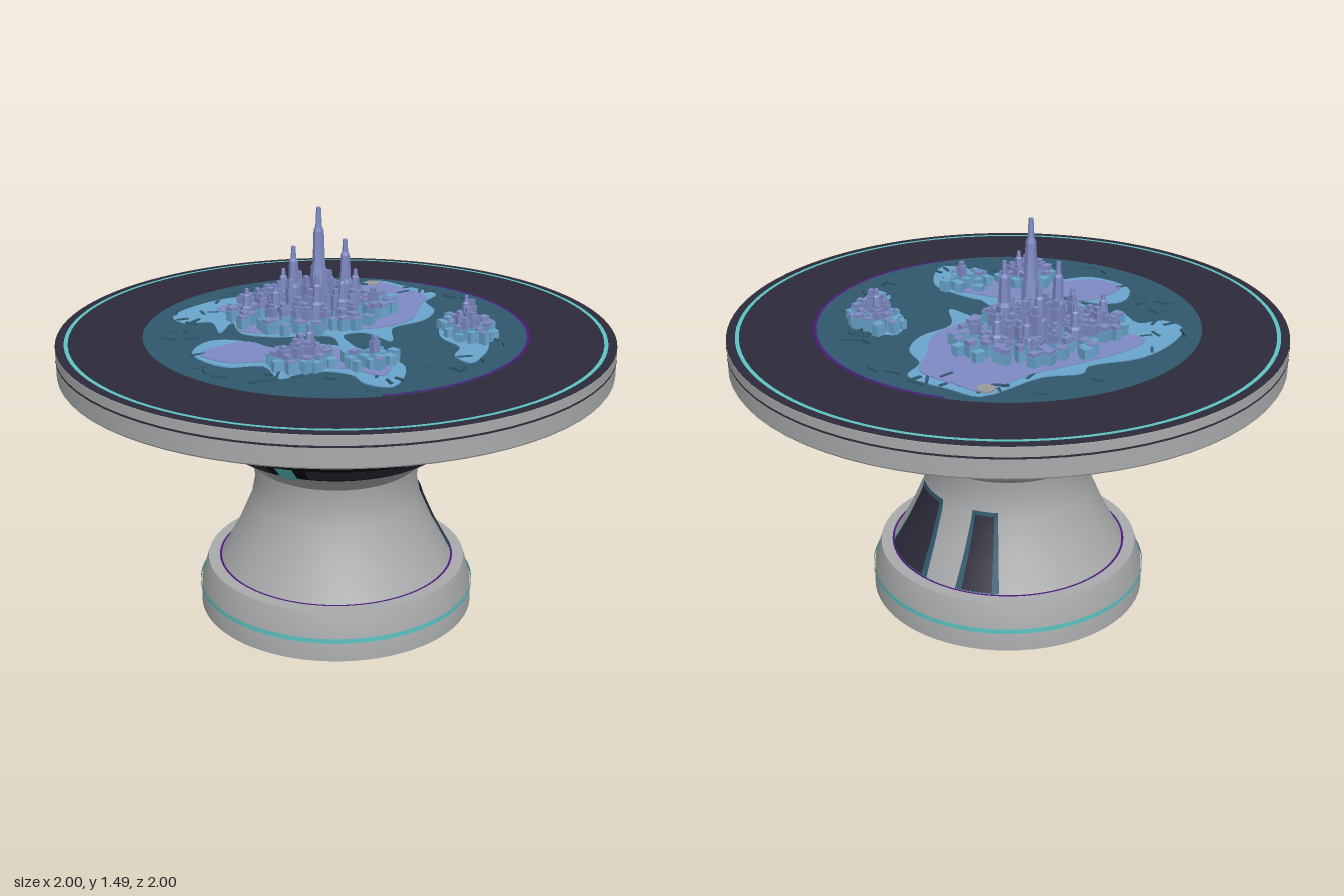
import * as THREE from 'three';
import { toCreasedNormals } from 'three/addons/utils/BufferGeometryUtils.js';

const mat = (name, color, side = THREE.FrontSide) => {
  const m = new THREE.MeshStandardMaterial({ color, side });
  m.name = name;
  return m;
};

export function createModel() {
  const grey = mat('shell grey', 0xa9abac);
  const black = mat('bowl black', 0x08080b);
  const navy = mat('dark navy', 0x2d2b3a, THREE.DoubleSide);
  const teal = mat('light teal', 0x5cc4c2, THREE.DoubleSide);
  const purple = mat('accent purple', 0x4c1a7a, THREE.DoubleSide);
  const water = mat('water blue', 0x30586c);
  const land = mat('land blue', 0x6aa5cd);
  const lavender = mat('city lavender', 0x7f8bc4);
  const sand = mat('sand', 0x9c9a9c);

  const root = new THREE.Group();
  const add = (name, geo, material, parent = root) => {
    const mesh = new THREE.Mesh(geo, material);
    mesh.name = name;
    parent.add(mesh);
    return mesh;
  };
  const group = (name) => {
    const g = new THREE.Group();
    g.name = name;
    root.add(g);
    return g;
  };
  let seed = 7;
  const rand = () => (seed = (seed * 16807) % 2147483647) / 2147483647;

  const lathe = (name, pts, material) => add(name, toCreasedNormals(
    new THREE.LatheGeometry(pts.map((p) => new THREE.Vector2(...p)), 72), 0.45), material);

  // radius of a profile at height y
  const radiusAt = (pts, y) => {
    for (let i = 1; i < pts.length; i++) {
      const [r0, y0] = pts[i - 1], [r1, y1] = pts[i];
      if (y <= y1) return r0 + (r1 - r0) * (y - y0) / (y1 - y0);
    }
    return pts[pts.length - 1][0];
  };
  // thin plate wrapped around a turned profile; half widths are angles
  const patch = (name, profile, a, half0, half1, y0, y1, lift, material, parent) => {
    const geo = new THREE.PlaneGeometry(1, 1, 16, 8);
    const p = geo.attributes.position;
    for (let i = 0; i < p.count; i++) {
      const v = p.getY(i) + 0.5, y = y0 + (y1 - y0) * v;
      const t = a + p.getX(i) * 2 * (half0 + (half1 - half0) * v);
      const r = radiusAt(profile, y) + lift;
      p.setXYZ(i, r * Math.cos(t), y, -r * Math.sin(t));
    }
    geo.computeVertexNormals();
    return add(name, geo, material, parent);
  };
  const flatRing = (name, r0, r1, y, material, start = 0, len = Math.PI * 2) => {
    const geo = new THREE.RingGeometry(r0, r1, 96, 1, start, len).rotateX(-Math.PI / 2);
    return add(name, geo.translate(0, y, 0), material);
  };
  const band = (name, r, y, h, material) => add(name,
    new THREE.CylinderGeometry(r, r, h, 72, 1, true).translate(0, y, 0), material);

  // foot and pedestal
  const stem = [[0.435, 0.18], [0.37, 0.3], [0.318, 0.42], [0.302, 0.5], [0.31, 0.57],
    [0.355, 0.61], [0.41, 0.65]];
  lathe('foot', [[0, 0], [0.515, 0], [0.512, 0.09], [0.485, 0.18], [0.42, 0.18]], grey);
  lathe('pedestal', stem, grey);
  band('footLight', 0.518, 0.082, 0.018, teal);
  flatRing('footSeam', 0.435, 0.443, 0.182, purple);

  // pedestal windows: one on the left side, a narrow one behind it
  const windows = group('pedestalWindows');
  for (const [a, w0, w1] of [[-0.06, 0.36, 0.27], [Math.PI / 4, 0.19, 0.15]]) {
    patch('windowFrame', stem, a, w0, w1, 0.185, 0.45, 0.005, water, windows);
    patch('windowPane', stem, a, w0 - 0.06, w1 - 0.04, 0.19, 0.437, 0.009, navy, windows);
  }

  // bowl under the top, with lamps on the diagonals and panels between
  const cone = [[0.41, 0.65], [0.52, 0.762]];
  lathe('bowl', [...cone, [0.59, 0.762], [0.745, 0.9], [0.745, 0.918], [0.7, 0.952]], black);
  band('bowlRimLight', 0.747, 0.909, 0.017, purple);
  const lamps = group('bowlLamps');
  for (let i = 0; i < 4; i++) {
    const a = Math.PI / 4 + i * Math.PI / 2;
    patch('lamp', cone, a, 0.075, 0.07, 0.65, 0.76, 0.012, teal, lamps);
    patch('panel', cone, a + Math.PI / 4, 0.62, 0.62, 0.66, 0.745, 0.006, navy, lamps);
    patch('panelLight', cone, a + Math.PI / 4, 0.62, 0.62, 0.746, 0.758, 0.007, purple, lamps);
    flatRing('undersideLight', 0.82, 0.84, 0.947, teal, a - 0.5, 1);
  }

  // table top
  lathe('tableTop', [[0.65, 0.95], [0.995, 0.95], [0.998, 0.955], [0.998, 1.06], [0, 1.06]], grey);
  band('edgeSeam', 1, 1.024, 0.007, navy);
  flatRing('topSurface', 0.68, 0.998, 1.062, navy);
  flatRing('topLight', 0.953, 0.967, 1.064, teal);
  flatRing('mapRim', 0.683, 0.695, 1.065, purple, -1.75, 2.5);
  add('mapWater', new THREE.CylinderGeometry(0.692, 0.692, 0.01, 72).translate(0, 1.0585, 0), water);

  // islands as thin plates drawn in x, z
  const island = (name, pts, top, material) => {
    const curve = new THREE.CatmullRomCurve3(
      pts.map(([x, z]) => new THREE.Vector3(x, z, 0)), true, 'centripetal');
    const shape = new THREE.Shape(curve.getPoints(pts.length * 4).slice(0, -1)
      .map((p) => new THREE.Vector2(p.x, p.y)));
    const geo = new THREE.ExtrudeGeometry(shape, { depth: 0.008, bevelEnabled: false });
    add(name, geo.rotateX(Math.PI / 2).translate(0, top, 0), material);
  };
  island('northIsland', [[-0.5, -0.37], [-0.4, -0.46], [-0.22, -0.52], [-0.03, -0.49], [0.02, -0.53],
    [0.15, -0.49], [0.4, -0.52], [0.46, -0.42], [0.53, -0.26], [0.45, -0.19], [0.43, -0.07],
    [0.34, 0.02], [0.2, 0.06], [0.13, 0.2], [0.08, 0.07], [0.0, 0.07], [-0.02, 0.24], [-0.06, 0.2],
    [-0.05, 0.06], [-0.24, -0.01], [-0.33, -0.09], [-0.32, -0.22], [-0.4, -0.12], [-0.39, -0.26],
    [-0.48, -0.28]], 1.067, land);
  island('northHighland', [[-0.32, -0.4], [-0.2, -0.45], [0, -0.46], [0.2, -0.46], [0.38, -0.5],
    [0.43, -0.4], [0.48, -0.25], [0.4, -0.14], [0.3, 0], [0.15, 0.05], [0, 0.0], [-0.24, -0.04],
    [-0.33, -0.12], [-0.27, -0.25]], 1.07, lavender);
  island('westIsland', [[-0.56, 0.06], [-0.46, -0.05], [-0.36, -0.01], [-0.3, 0.1], [-0.14, 0.12],
    [-0.02, 0.22], [0.04, 0.34], [0.06, 0.46], [-0.06, 0.62], [-0.13, 0.56], [-0.14, 0.46],
    [-0.25, 0.38], [-0.37, 0.41], [-0.38, 0.27], [-0.5, 0.23]], 1.067, land);
  island('westHighland', [[-0.54, 0.08], [-0.46, 0.03], [-0.34, 0.02], [-0.28, 0.12], [-0.14, 0.15],
    [-0.04, 0.26], [0.03, 0.4], [-0.05, 0.52], [-0.12, 0.42], [-0.26, 0.34], [-0.36, 0.24],
    [-0.48, 0.2]], 1.07, lavender);
  island('eastIsland', [[0.4, 0.08], [0.46, 0.12], [0.5, 0.21], [0.45, 0.32], [0.39, 0.42],
    [0.28, 0.51], [0.26, 0.43], [0.32, 0.35], [0.31, 0.22]], 1.067, land);
  add('sandPatch', new THREE.CylinderGeometry(0.03, 0.03, 0.008, 12).translate(0.36, 1.069, -0.485), sand);

  // city blocks: blue podium, lavender body with a narrowed upper part
  const city = group('city');
  const box = new THREE.BoxGeometry(1, 1, 1).translate(0, 0.5, 0);
  const block = (x, z, w, d, h, turn) => {
    const part = (name, y, sw, sh, m) => {
      const b = add(name, box, m, city);
      b.position.set(x, y, z);
      b.scale.set(w * sw, sh, d * sw);
      b.rotation.y = turn;
    };
    part('podium', 1.062, 1, Math.min(h, 0.045), land);
    if (h > 0.045) part('building', 1.1, 0.88, (h - 0.04) * 0.75, lavender);
    if (h > 0.08) part('buildingTop', 1.1, 0.55, h - 0.04, lavender);
  };
  // centre x, z, spread x, z, count, peak height, block size
  const districts = [[-0.01, -0.2, 0.32, 0.24, 105, 0.17, 0.038],
    [-0.26, 0.31, 0.11, 0.09, 30, 0.13, 0.036], [-0.04, 0.39, 0.1, 0.08, 16, 0.09, 0.032],
    [0.42, 0.22, 0.085, 0.14, 36, 0.12, 0.03]];
  for (const [cx, cz, sx, sz, n, peak, size] of districts) {
    for (let i = 0; i < n; i++) {
      const q = Math.sqrt((i + 0.5) / n), a = i * 2.39996 + rand() * 0.3;
      block(cx + sx * q * Math.cos(a), cz + sz * q * Math.sin(a), size * (0.65 + rand() * 0.5),
        size * (0.65 + rand() * 0.5), 0.018 + peak * (1 - 0.75 * q) * (0.4 + 0.7 * rand()), rand() * 0.6);
    }
  }

  // tapered towers: x, z, width, top height
  for (const [x, z, r, top] of [[-0.01, -0.14, 0.034, 1.485], [0.1, -0.15, 0.032, 1.355],
    [-0.085, -0.2, 0.03, 1.335], [0.02, -0.25, 0.03, 1.28], [-0.04, -0.08, 0.028, 1.25],
    [0.06, -0.08, 0.028, 1.25], [-0.17, -0.16, 0.027, 1.21], [-0.26, -0.22, 0.025, 1.19],
    [0.18, -0.24, 0.026, 1.21], [0.1, -0.3, 0.026, 1.2], [-0.08, -0.32, 0.026, 1.22],
    [-0.22, 0.3, 0.025, 1.2], [0.42, 0.2, 0.025, 1.2]]) {
    const h = top - 1.06;
    const pts = [[r, 0], [r * 0.9, h * 0.45], [r * 0.68, h * 0.5], [r * 0.55, h * 0.8],
      [r * 0.35, h * 0.84], [r * 0.25, h], [0, h]].map((p) => new THREE.Vector2(...p));
    const t = add('tower', toCreasedNormals(new THREE.LatheGeometry(pts, 6), 0.3), lavender, city);
    t.position.set(x, 1.06, z);
  }

  // low ridges scattered across the water
  const ridges = group('seaRidges');
  for (let i = 0; i < 60; i++) {
    const a = rand() * Math.PI * 2, r = 0.5 + rand() * 0.14;
    const s = add('ridge', box, water, ridges);
    s.position.set(r * Math.cos(a), 1.06, r * Math.sin(a));
    s.scale.set(0.03 + rand() * 0.03, 0.007 + rand() * 0.007, 0.01);
    s.rotation.y = rand() * 3;
  }
  return root;
}
